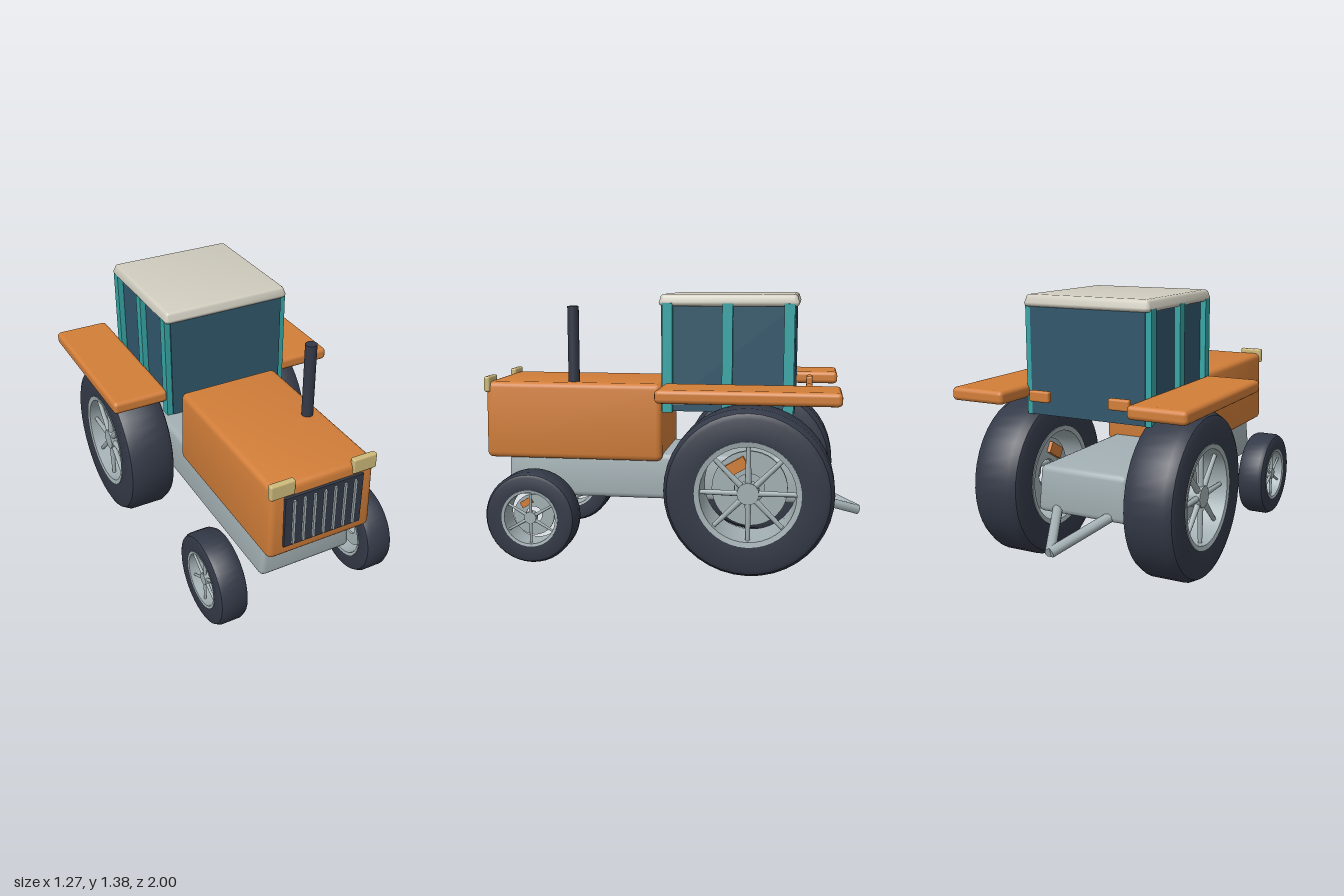
import * as THREE from 'three';
import { RoundedBoxGeometry } from 'three/addons/geometries/RoundedBoxGeometry.js';
import { toCreasedNormals } from 'three/addons/utils/BufferGeometryUtils.js';

const paint = (name, color) => {
  const m = new THREE.MeshStandardMaterial({ color });
  m.name = name;
  return m;
};

export function createModel() {
  const orange = paint('orange paint', 0xd27e39);
  const grey = paint('grey metal', 0xa3b0b4);
  const dark = paint('dark rubber', 0x333947);
  const glass = paint('blue glass', 0x31576b);
  const teal = paint('teal frame', 0x37a6a6);
  const cream = paint('cream roof', 0xd0ccbf);
  const lampYellow = paint('lamp yellow', 0xcdb97a);

  const model = new THREE.Group();
  model.name = 'tractor';

  const add = (parent, name, geometry, material, x = 0, y = 0, z = 0) => {
    const mesh = new THREE.Mesh(geometry, material);
    mesh.name = name;
    mesh.position.set(x, y, z);
    parent.add(mesh);
    return mesh;
  };

  // Box given by its limits on each axis, with rounded edges when r > 0
  const box = (name, material, [x0, x1], [y0, y1], [z0, z1], r = 0) => {
    const w = x1 - x0, h = y1 - y0, d = z1 - z0;
    const g = r ? new RoundedBoxGeometry(w, h, d, 2, r) : new THREE.BoxGeometry(w, h, d);
    return add(model, name, g, material, (x0 + x1) / 2, (y0 + y1) / 2, (z0 + z1) / 2);
  };
  // Limits mirrored to side s
  const span = (s, a, b) => (s > 0 ? [a, b] : [-b, -a]);

  // Narrow or widen the upper half of a box
  const taper = (mesh, kx, kz) => {
    const p = mesh.geometry.attributes.position;
    for (let i = 0; i < p.count; i++) {
      if (p.getY(i) > 0) p.setXYZ(i, p.getX(i) * kx, p.getY(i), p.getZ(i) * kz);
    }
    mesh.geometry.computeVertexNormals();
    mesh.geometry = toCreasedNormals(mesh.geometry, 0.7);
  };

  // Body
  taper(box('chassis', grey, [-0.257, 0.257], [0.31, 0.55], [-0.71, 0.865], 0.03), 0.94, 0.995);
  taper(box('hood', orange, [-0.284, 0.284], [0.515, 0.92], [0.03, 0.972], 0.03), 0.975, 0.995);

  // Grille with upright bars
  box('grille', dark, [-0.21, 0.21], [0.58, 0.86], [0.95, 0.985]);
  for (let i = -3; i <= 3; i++) {
    const x = i * 0.055;
    box('grilleBar', grey, [x - 0.006, x + 0.006], [0.592, 0.842], [0.98, 0.996]);
  }

  // Exhaust
  add(model, 'exhaust', new THREE.CylinderGeometry(0.03, 0.03, 0.43, 16), dark, 0.195, 1.1, 0.51);

  // Cab
  box('cabGlass', glass, [-0.315, 0.315], [0.79, 1.33], [-0.648, 0.024]);
  taper(box('roof', cream, [-0.345, 0.345], [1.32, 1.38], [-0.665, 0.035], 0.02), 0.98, 0.98);

  // Parts found on both sides
  for (const s of [1, -1]) {
    for (const z of [-0.01, -0.312, -0.617]) {
      box('cabPillar', teal, span(s, 0.31, 0.345), [0.787, 1.335], [z - 0.026, z + 0.026]);
    }
    box('fender', orange, span(s, 0.335, 0.633), [0.868, 0.935], [-0.875, 0.01], 0.022);
    box('fenderBracket', grey, span(s, 0.3, 0.44), [0.84, 0.872], [-0.112, -0.045]);
    box('headlight', lampYellow, span(s, 0.155, 0.285), [0.865, 0.946], [0.945, 0.978], 0.01);
    box('rearLamp', orange, span(s, 0.163, 0.275), [0.87, 0.925], [-0.736, -0.702], 0.01);

    // Drawbar arm
    const from = new THREE.Vector3(s * 0.165, 0.348, -0.66);
    const to = new THREE.Vector3(0, 0.23, -0.99);
    const arm = add(model, 'drawbarArm',
      new THREE.CylinderGeometry(0.026, 0.026, from.distanceTo(to), 8), grey);
    arm.position.copy(from).lerp(to, 0.5);
    arm.quaternion.setFromUnitVectors(new THREE.Vector3(0, 1, 0), to.clone().sub(from).normalize());
  }

  // Ring turned around the x axis from a closed profile of [radius, x] points
  const ring = (profile, segments = 40) => {
    const pts = [...profile, profile[0]].map(([r, x]) => new THREE.Vector2(r, x));
    return toCreasedNormals(new THREE.LatheGeometry(pts, segments), 0.6).rotateZ(-Math.PI / 2);
  };
  const tyreShape = ring([[0.255, -0.125], [0.375, -0.133], [0.4, -0.122], [0.42, -0.085],
    [0.42, 0.085], [0.4, 0.122], [0.375, 0.133], [0.255, 0.125]]);
  const rimShape = ring([[0.237, -0.125], [0.262, -0.13], [0.262, 0.13], [0.237, 0.125]]);
  const discShape = ring([[0.075, -0.01], [0.19, -0.01], [0.19, 0.01], [0.075, 0.01]]);

  const wheel = (name, s, x, y, z, scale, spokes) => {
    const g = new THREE.Group();
    g.name = name;
    g.position.set(s * x, y, z);
    g.scale.setScalar(scale);
    model.add(g);
    add(g, 'tyre', tyreShape, dark);
    add(g, 'rim', rimShape, grey);
    add(g, 'brakeDisc', discShape, grey, -s * 0.03);
    add(g, 'hub', new THREE.CylinderGeometry(0.055, 0.055, 0.07, 16).rotateZ(Math.PI / 2),
      grey, s * 0.07);
    for (let i = 0; i < spokes; i++) {
      const a = (i / spokes) * Math.PI * 2;
      const spoke = new THREE.CylinderGeometry(0.011, 0.016, 0.21, 8);
      spoke.translate(0, 0.145, 0).rotateX(a);
      add(g, 'spoke', spoke, grey, s * 0.085);
    }
    // Brake caliper sits across the disc, above and ahead of the hub
    const caliper = new THREE.BoxGeometry(0.06, 0.06, 0.11).translate(0, 0.13, 0).rotateX(0.53);
    add(g, 'brakeCaliper', caliper, orange, -s * 0.03);
  };
  for (const s of [1, -1]) {
    wheel('rearWheel', s, 0.422, 0.42, -0.435, 1, 8);
    wheel('frontWheel', s, 0.42, 0.245, 0.68, 0.565, 6);
  }
  return model;
}
